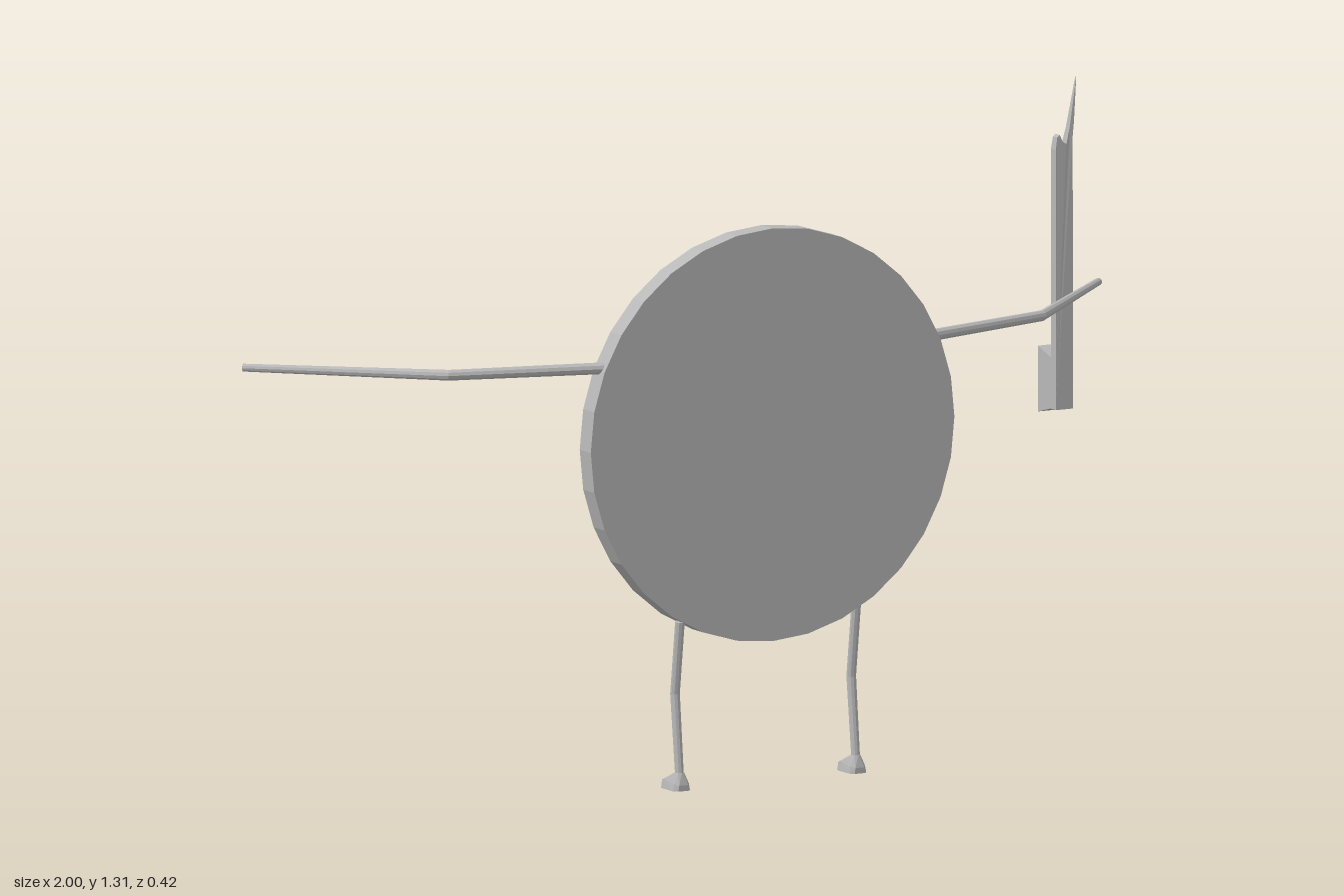
import * as THREE from 'three';
import { ConvexGeometry } from 'three/addons/geometries/ConvexGeometry.js';

const grey = new THREE.MeshStandardMaterial({ color: 0xb8b8b8 });
grey.name = 'plain grey';

const V = (x, y, z) => new THREE.Vector3(x, y, z);

function part(name, geometry) {
  const mesh = new THREE.Mesh(geometry, grey);
  mesh.name = name;
  return mesh;
}

// Thin bent limb: round rings set along a path, mitred at the joints, capped at both ends
function limbGeometry(path, radii, ref, sides = 10) {
  const pos = [], index = [];
  path.forEach((p, i) => {
    const a = path[Math.max(i - 1, 0)], b = path[Math.min(i + 1, path.length - 1)];
    const dirIn = p.clone().sub(a).normalize(), dirOut = b.clone().sub(p).normalize();
    const t = dirIn.add(dirOut).normalize();
    const u = t.clone().cross(ref).normalize(), v = t.clone().cross(u);
    for (let j = 0; j < sides; j++) {
      const ang = (j / sides) * Math.PI * 2;
      const q = p.clone().addScaledVector(u, Math.cos(ang) * radii[i]).addScaledVector(v, Math.sin(ang) * radii[i]);
      pos.push(q.x, q.y, q.z);
    }
  });
  const last = (path.length - 1) * sides;
  for (let i = 0; i < path.length - 1; i++) {
    for (let j = 0; j < sides; j++) {
      const k = (j + 1) % sides, a = i * sides + j, b = i * sides + k;
      index.push(a, b, a + sides, b, b + sides, a + sides);
    }
  }
  for (let j = 1; j < sides - 1; j++) {
    index.push(0, j + 1, j, last, last + j, last + j + 1);
  }
  const g = new THREE.BufferGeometry();
  g.setAttribute('position', new THREE.Float32BufferAttribute(pos, 3));
  g.setIndex(index);
  const flat = g.toNonIndexed();
  flat.computeVertexNormals();
  return flat;
}

// Foot: ankle ring blended into a low sole with the toe pointing to -z
function footGeometry(x) {
  const pts = [];
  for (let j = 0; j < 8; j++) {
    const a = (j / 8) * Math.PI * 2;
    pts.push(V(x + Math.cos(a) * 0.01, 0.036, 0.19 + Math.sin(a) * 0.01));
  }
  // half width, z, height of the upper edge
  for (const [w, z, top] of [[0.012, 0.207, 0.012], [0.02, 0.198, 0.014], [0.021, 0.16, 0.02], [0.019, 0.148, 0.017], [0.01, 0.14, 0.013]]) {
    for (const s of [-1, 1]) {
      pts.push(V(x + s * w, 0, z), V(x + s * w * 0.85, top, z));
    }
  }
  return new ConvexGeometry(pts);
}

// Sword: flat blade with a split tip thinning upward, and a flared grip block behind
function createSword() {
  const sword = new THREE.Group();
  sword.name = 'sword';
  const outline = [[0.863, 0.632], [0.903, 0.632], [0.903, 1.19], [0.907, 1.22], [0.915, 1.31],
    [0.897, 1.21], [0.888, 1.175], [0.88, 1.18], [0.873, 1.195], [0.867, 1.19], [0.863, 1.165]];
  const shape = new THREE.Shape(outline.map(([x, y]) => new THREE.Vector2(x, y)));
  const blade = new THREE.ExtrudeGeometry(shape, { depth: 0.02, bevelEnabled: false });
  const p = blade.attributes.position;
  for (let i = 0; i < p.count; i++) {
    const k = 1 - 0.8 * THREE.MathUtils.clamp((p.getY(i) - 1.165) / 0.145, 0, 1);
    p.setZ(i, -0.155 + (p.getZ(i) - 0.01) * k);
  }
  blade.computeVertexNormals();
  sword.add(part('blade', blade));

  const grip = [];
  for (const [z, half, low, high] of [[-0.164, 0.019, 0.633, 0.736], [-0.209, 0.025, 0.62, 0.755]]) {
    for (const s of [-1, 1]) grip.push(V(0.883 + s * half, low, z), V(0.883 + s * half, high, z));
  }
  sword.add(part('grip', new ConvexGeometry(grip)));
  return sword;
}

export function createModel() {
  const model = new THREE.Group();
  model.name = 'discFigure';

  // Round flat body
  const disc = new THREE.CylinderGeometry(0.423, 0.423, 0.045, 32).toNonIndexed();
  disc.rotateX(Math.PI / 2);
  disc.computeVertexNormals();
  const body = part('body', disc);
  body.position.set(0, 0.713, 0.188);
  model.add(body);

  // Mirrored arms, legs and feet
  for (const [side, s] of [['left', 1], ['right', -1]]) {
    const arm = [V(s * 0.38, 0.88, 0.19), V(s * 0.69, 0.879, 0.1), V(s * 0.995, 0.875, -0.203)];
    model.add(part(side + 'Arm', limbGeometry(arm, [0.012, 0.011, 0.008], V(0, 1, 0))));
    const x = s * 0.205;
    const leg = [V(x, 0.345, 0.192), V(x, 0.195, 0.172), V(x, 0.03, 0.19)];
    model.add(part(side + 'Leg', limbGeometry(leg, [0.01, 0.01, 0.009], V(1, 0, 0))));
    model.add(part(side + 'Foot', footGeometry(x)));
  }

  model.add(createSword());
  return model;
}
